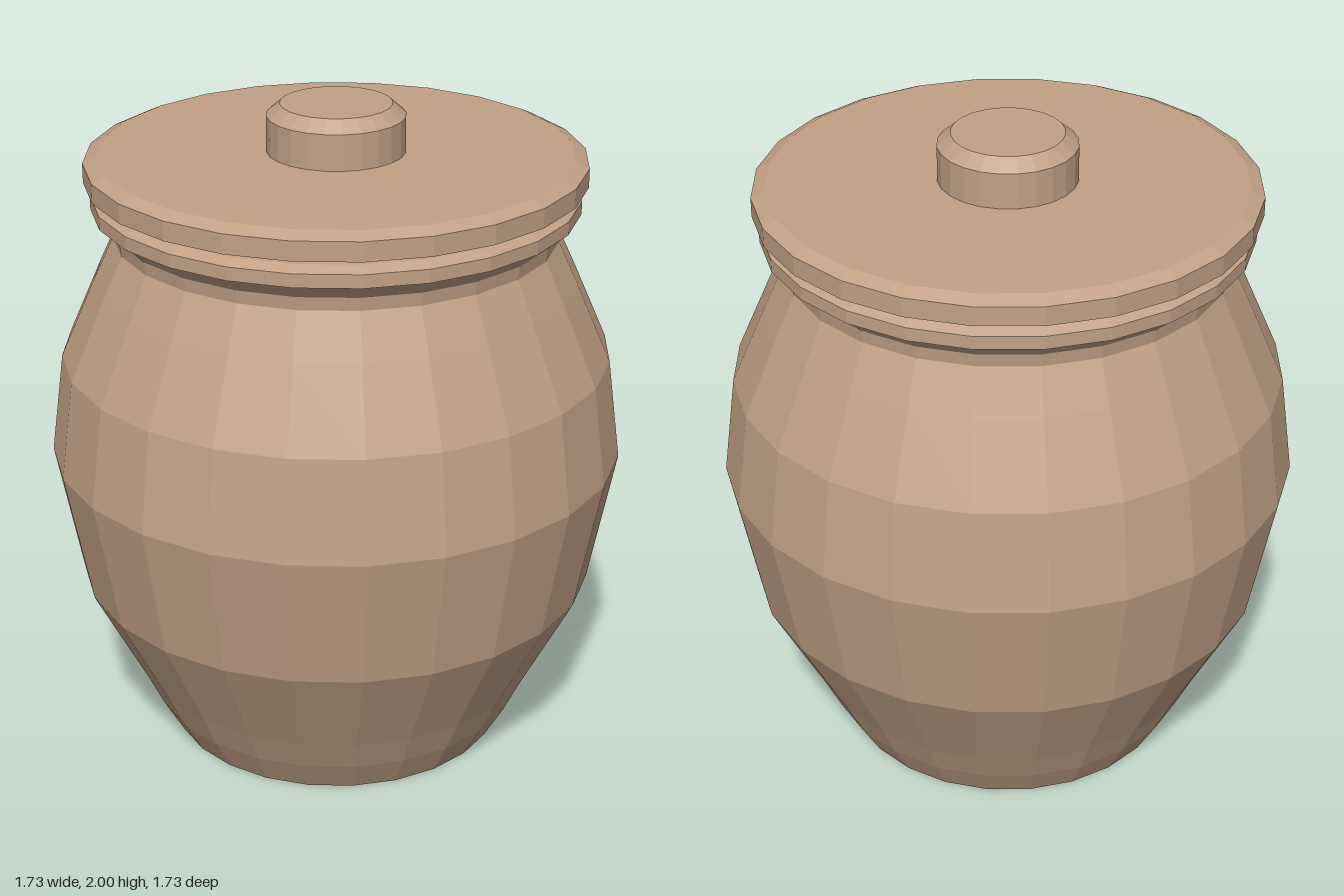
import * as THREE from 'three';

const SIDES = 24;

export function createModel() {
  const group = new THREE.Group();
  const clay = new THREE.MeshStandardMaterial({ color: 0xc2a186, flatShading: true });

  // Each part is turned from a profile of [radius, height], bottom to top
  function turned(name, profile) {
    const points = profile.map(([r, y]) => new THREE.Vector2(r, y));
    const mesh = new THREE.Mesh(new THREE.LatheGeometry(points, SIDES), clay);
    mesh.name = name;
    group.add(mesh);
  }

  // Hollow jar: base, belly, neck, rolled rim, then down the inner wall
  turned('jar', [
    [0, 0], [0.515, 0], [0.575, 0.105], [0.625, 0.21], [0.785, 0.52],
    [0.865, 0.935], [0.825, 1.24], [0.72, 1.48], [0.66, 1.61],
    [0.665, 1.65], [0.7, 1.69], [0.722, 1.698], [0.722, 1.738], [0.69, 1.755],
    [0.62, 1.755], [0.6, 1.61], [0.76, 1.24], [0.8, 0.935],
    [0.72, 0.52], [0.54, 0.14], [0, 0.1],
  ]);

  // Flat lid with a chamfered top edge
  turned('lid', [[0, 1.78], [0.74, 1.78], [0.74, 1.838], [0.7, 1.857], [0, 1.857]]);

  // Knob on the lid
  turned('lidKnob', [[0.205, 1.85], [0.205, 1.965], [0.165, 2], [0, 2]]);

  return group;
}
